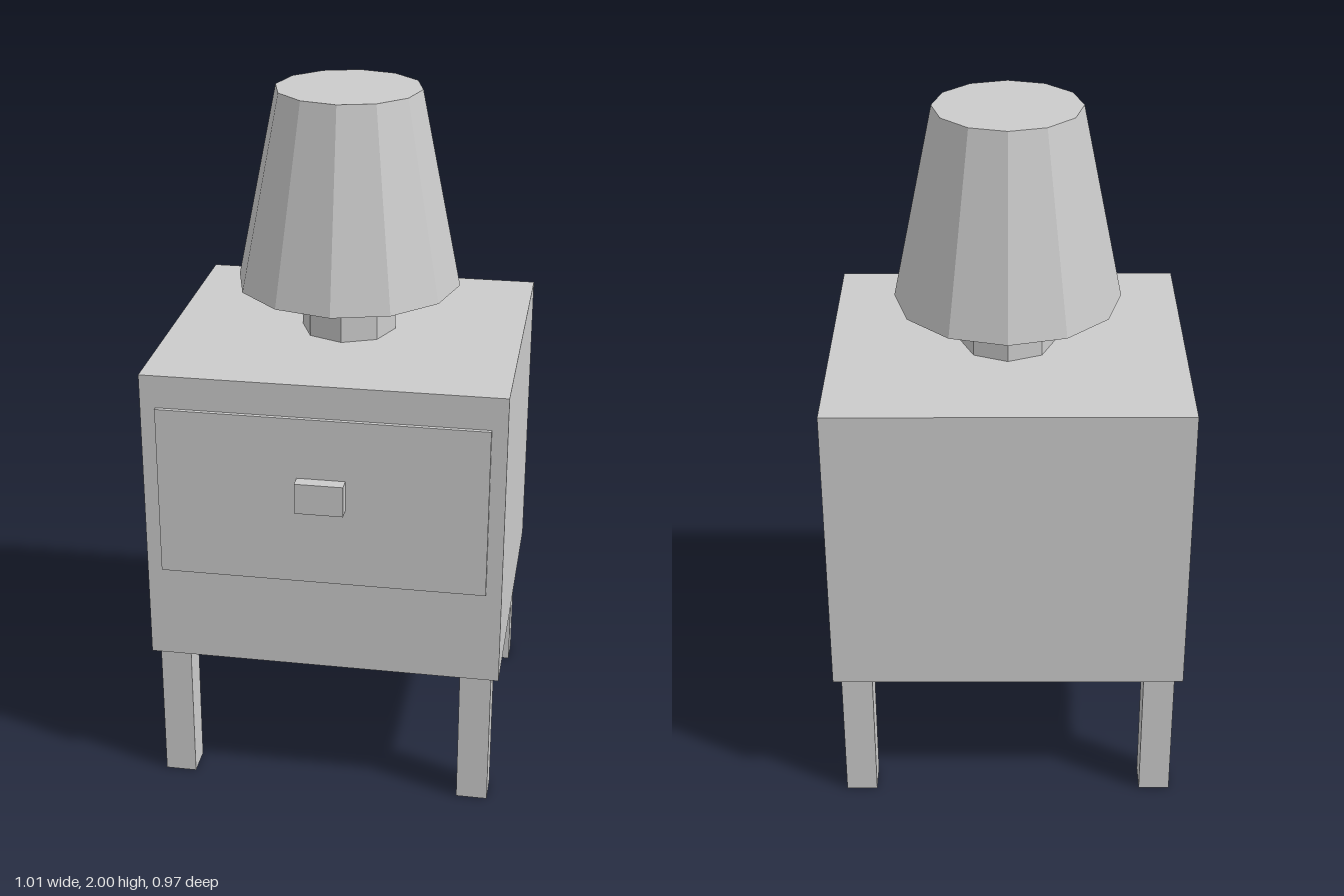
import * as THREE from 'three';

const material = new THREE.MeshStandardMaterial({ color: 0xcccccc, flatShading: true, side: THREE.DoubleSide });

// Box given by its minimum and maximum corners; openSides lists faces left out (2 = top, 3 = bottom)
function box(name, min, max, openSides = []) {
  const size = max.map((v, i) => v - min[i]);
  const geometry = new THREE.BoxGeometry(...size);
  const index = Array.from(geometry.index.array).filter((_, i) => !openSides.includes(Math.floor(i / 6)));
  geometry.setIndex(index);
  geometry.clearGroups();
  const mesh = new THREE.Mesh(geometry, material);
  mesh.name = name;
  mesh.position.set(...min.map((v, i) => v + size[i] / 2));
  return mesh;
}

// Upright faceted cylinder or cone section
function drum(name, rTop, rBottom, y0, y1, sides) {
  const mesh = new THREE.Mesh(new THREE.CylinderGeometry(rTop, rBottom, y1 - y0, sides), material);
  mesh.name = name;
  mesh.position.y = (y0 + y1) / 2;
  return mesh;
}

export function createModel() {
  const model = new THREE.Group();
  model.name = 'nightstandWithLamp';

  // Cabinet shell, open underneath
  model.add(box('cabinet', [-0.507, 0.42, -0.487], [0.507, 1.295, 0.437], [3]));

  // Drawer front and its knob
  model.add(box('drawerFront', [-0.463, 0.7, 0.437], [0.463, 1.2, 0.449]));
  model.add(box('drawerKnob', [-0.068, 0.932, 0.449], [0.068, 1.022, 0.487]));

  // Four hollow square legs
  for (const side of [-1, 1]) {
    for (const [end, z] of [['front', 0.375], ['back', -0.415]]) {
      const x = side * 0.44, h = 0.045;
      const name = end + (side > 0 ? 'Left' : 'Right') + 'Leg';
      model.add(box(name, [x - h, 0, z - h], [x + h, 0.42, z + h], [2, 3]));
    }
  }

  // Table lamp: eight-sided base and twelve-sided shade
  const lamp = new THREE.Group();
  lamp.name = 'lamp';
  lamp.position.z = -0.025;
  lamp.add(drum('lampBase', 0.137, 0.137, 1.295, 1.45, 8));
  lamp.add(drum('lampShade', 0.207, 0.322, 1.438, 2, 12));
  model.add(lamp);

  return model;
}
